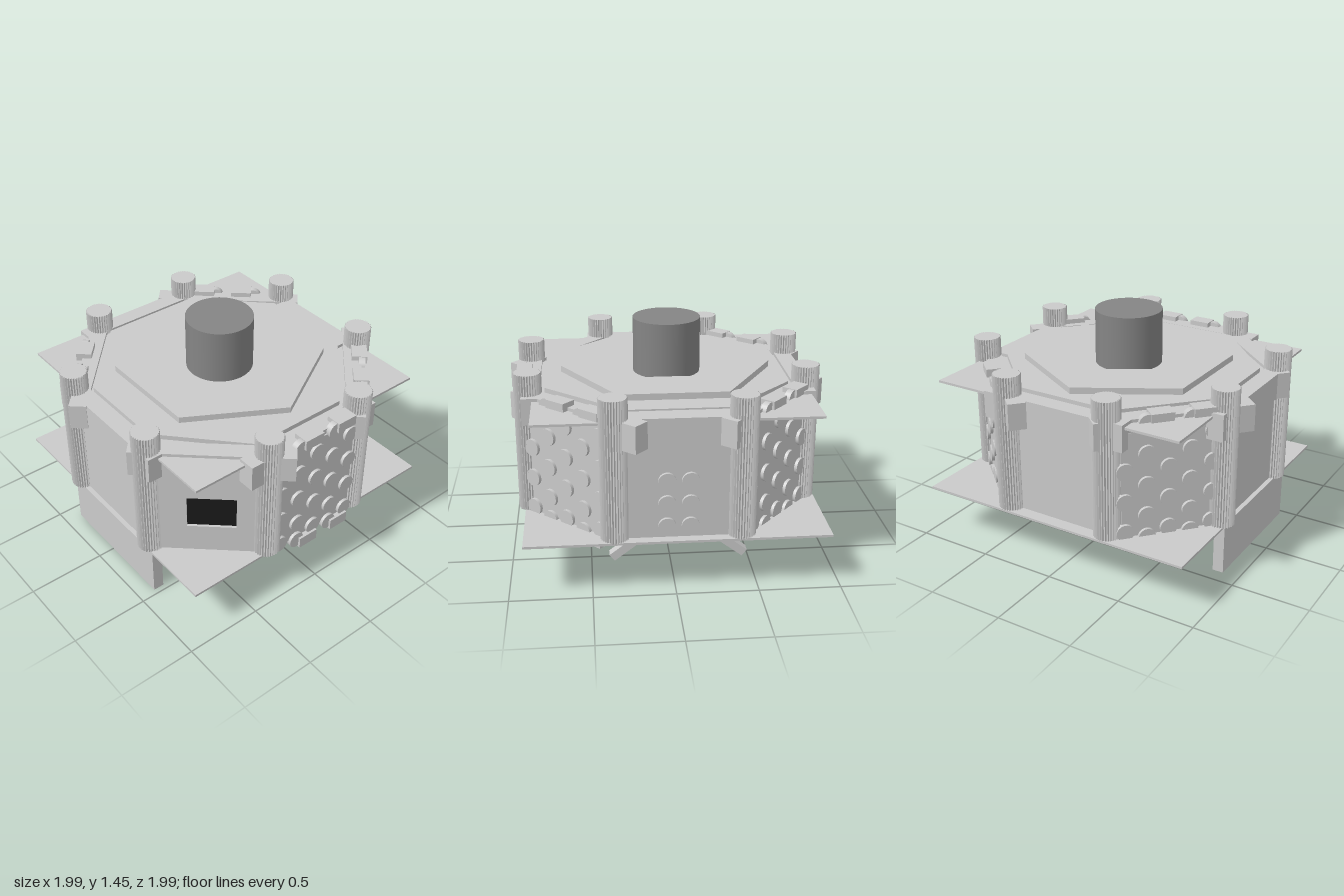
import * as THREE from 'three';

const mat = (name, color) => {
  const m = new THREE.MeshStandardMaterial({ color });
  m.name = name;
  return m;
};

export function createModel() {
  const model = new THREE.Group();
  const light = mat('lightGrey', 0xcacaca);
  const dark = mat('darkGrey', 0x858585);
  const black = mat('black', 0x1a1a1a);

  const add = (parent, name, geo, material, x = 0, y = 0, z = 0) => {
    const mesh = new THREE.Mesh(geo, material);
    mesh.name = name;
    mesh.position.set(x, y, z);
    parent.add(mesh);
    return mesh;
  };
  // box given by its lower and upper limits
  const box = (parent, name, x0, x1, y0, y1, z0, z1, material = light) =>
    add(parent, name, new THREE.BoxGeometry(x1 - x0, y1 - y0, z1 - z0), material,
      (x0 + x1) / 2, (y0 + y1) / 2, (z0 + z1) / 2);
  // flat slab from a plan outline of [x, z] points
  const slab = (name, points, y0, y1, hole) => {
    const toV = ([x, z]) => new THREE.Vector2(x, -z);
    const shape = new THREE.Shape(points.map(toV));
    if (hole) shape.holes.push(new THREE.Path(hole.map(toV)));
    const geo = new THREE.ExtrudeGeometry(shape, { depth: y1 - y0, bevelEnabled: false });
    geo.rotateX(-Math.PI / 2);
    return add(model, name, geo, light, 0, y0, 0);
  };
  const hexagon = (r) => Array.from({ length: 6 }, (_, i) => {
    const a = i * Math.PI / 3;
    return [-0.015 + r * Math.cos(a), -0.03 + r * Math.sin(a)];
  });

  // square floor and ceiling plates
  box(model, 'basePlate', -0.945, 0.905, 0.32, 0.335, -0.96, 0.89);
  box(model, 'ceilingPlate', -0.875, 0.835, 1.055, 1.07, -0.89, 0.82);

  // stepped roof with a hexagonal well and a chimney
  const octagon = [[-0.34, -0.77], [0.29, -0.77], [0.76, -0.34], [0.76, 0.32],
    [0.29, 0.76], [-0.29, 0.76], [-0.76, 0.32], [-0.76, -0.34]];
  slab('wallCore', octagon, 0.335, 1.055);
  slab('octagonRoof', octagon, 1.07, 1.1);
  slab('hexagonRoof', hexagon(0.675), 1.1, 1.14, hexagon(0.315));
  add(model, 'chimney', new THREE.CylinderGeometry(0.215, 0.215, 0.37, 48), dark, -0.02, 1.268, -0.025);

  // fluted corner columns
  const flutes = [];
  for (let i = 0; i < 64; i++) {
    const a = i * Math.PI / 32, r = i % 2 ? 0.079 : 0.087;
    flutes.push(new THREE.Vector2(r * Math.cos(a), r * Math.sin(a)));
  }
  const columnGeo = new THREE.ExtrudeGeometry(new THREE.Shape(flutes), { depth: 0.89, bevelEnabled: false });
  columnGeo.rotateX(-Math.PI / 2);
  [[-0.4, -0.88], [0.36, -0.88], [0.86, -0.39], [0.86, 0.31],
    [0.385, 0.84], [-0.37, 0.845], [-0.86, 0.34], [-0.86, -0.365]]
    .forEach(([x, z]) => add(model, 'column', columnGeo, light, x, 0.33, z));

  // each side is built facing local +z
  const side = (name, degrees) => {
    const g = new THREE.Group();
    g.name = name;
    g.position.z = -0.02;
    g.rotation.y = degrees * Math.PI / 180;
    model.add(g);
    return g;
  };
  const band = (g, half, outer) => box(g, 'upperBand', -half, half, 0.92, 1.09, outer - 0.11, outer);

  // wall with staggered round studs and tabs through the plates
  const studGeo = new THREE.CylinderGeometry(0.054, 0.054, 0.04, 24);
  studGeo.rotateX(Math.PI / 2);
  const studWall = (g, face, shift) => {
    box(g, 'wallPanel', -0.33, 0.33, 0.335, 1.055, 0.76, face);
    for (let c = -2; c <= 2; c++) {
      const ys = c % 2 ? [1.065, 0.87, 0.67, 0.47, 0.325] : [0.97, 0.77, 0.57, 0.37];
      ys.forEach((y) => add(g, 'stud', studGeo, light, c * 0.135 + shift, y, face));
    }
    for (const x of [-0.05 + shift, 0.21 + shift]) {
      for (const [y0, y1] of [[0.26, 0.335], [1.055, 1.122]]) {
        box(g, 'tab', x - 0.07, x + 0.07, y0, y1, face - 0.065, face + 0.035);
      }
    }
  };

  // three studded diagonal walls
  for (const [name, deg] of [['frontRightWall', -42], ['backLeftWall', 138], ['backRightWall', -132]]) {
    const g = side(name, deg);
    band(g, 0.49, 0.9);
    studWall(g, 0.905, -0.04);
  }

  // studded left wall
  const left = side('leftWall', 90);
  band(left, 0.49, 0.9);
  studWall(left, 0.91, 0);

  // diagonal wall with a recessed dark window
  const win = side('windowWall', 48);
  band(win, 0.49, 0.9);
  const pane = new THREE.Shape([[-0.33, 0.335], [0.33, 0.335], [0.33, 1.055], [-0.33, 1.055]]
    .map(([x, y]) => new THREE.Vector2(x, y)));
  pane.holes.push(new THREE.Path([[-0.15, 0.53], [-0.15, 0.757], [0.15, 0.757], [0.15, 0.53]]
    .map(([x, y]) => new THREE.Vector2(x, y))));
  add(win, 'wallPanel', new THREE.ExtrudeGeometry(pane, { depth: 0.14, bevelEnabled: false }), light, 0, 0, 0.765);
  box(win, 'windowPane', -0.15, 0.15, 0.53, 0.757, 0.88, 0.888, black);

  // plain front wall with the skirt board reaching the ground
  const front = side('frontWall', 0);
  band(front, 0.48, 0.91);
  box(front, 'wallPanel', -0.34, 0.35, 0.335, 1.055, 0.76, 0.88);
  box(model, 'skirtBoard', -0.405, 0.465, 0, 0.32, 0.82, 0.89);

  // plain right wall
  const right = side('rightWall', -90);
  band(right, 0.49, 0.9);
  box(right, 'wallPanel', -0.33, 0.33, 0.29, 1.055, 0.8, 0.865);

  // back wall with two columns of round knobs and a pair of splayed feet
  box(model, 'backWall', -0.33, 0.31, 0.335, 1.09, -0.9, -0.76);
  for (const x of [-0.09, 0.05]) {
    for (const y of [0.41, 0.555, 0.7]) add(model, 'knob', studGeo, light, x, y, -0.9);
  }
  for (const s of [-1, 1]) {
    const foot = add(model, 'foot', new THREE.BoxGeometry(0.2, 0.05, 0.06), light, -0.02 + s * 0.32, 0.262, -0.86);
    foot.rotation.z = -s * 0.65;
  }
  return model;
}
